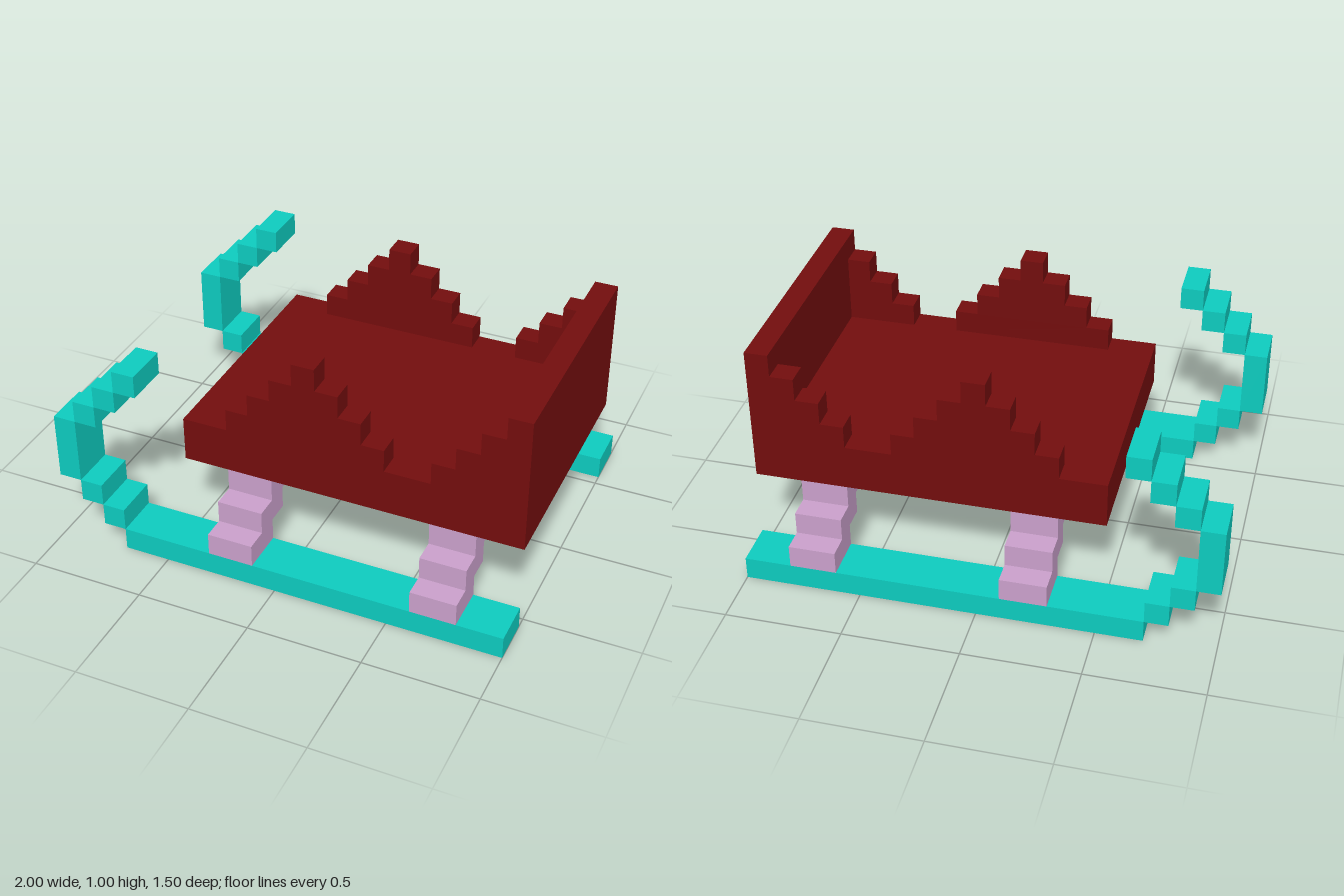
import * as THREE from 'three';

const paint = (name, color) => {
  const m = new THREE.MeshStandardMaterial({ color });
  m.name = name;
  return m;
};

// Box given by its minimum and maximum corners
function block(name, material, [x0, y0, z0], [x1, y1, z1]) {
  const mesh = new THREE.Mesh(new THREE.BoxGeometry(x1 - x0, y1 - y0, z1 - z0), material);
  mesh.position.set((x0 + x1) / 2, (y0 + y1) / 2, (z0 + z1) / 2);
  mesh.name = name;
  return mesh;
}

// Stepped outline extruded across a side wall's thickness
function steppedWall(name, material, points, z0, depth) {
  const shape = new THREE.Shape(points.map(([x, y]) => new THREE.Vector2(x, y)));
  const mesh = new THREE.Mesh(new THREE.ExtrudeGeometry(shape, { depth, bevelEnabled: false }), material);
  mesh.position.z = z0;
  mesh.name = name;
  return mesh;
}

export function createModel() {
  const red = paint('dark red', 0x720d0d);
  const teal = paint('teal', 0x0dcabe);
  const lilac = paint('lilac', 0xc99fca);
  const sled = new THREE.Group();
  sled.name = 'sled';

  // Deck and backrest
  sled.add(block('deck', red, [-0.5, 0.4, -0.55], [1, 0.6, 0.55]));
  sled.add(block('backrest', red, [0.9, 0.6, -0.55], [1, 1, 0.55]));

  // Stair outlines: a pyramid armrest and a brace rising to the backrest
  const left = [], right = [], brace = [[0.9, 0.6]];
  for (let i = 0; i < 4; i++) {
    const y = 0.6 + i * 0.1;
    right.push([0.4 - i * 0.1, y], [0.4 - i * 0.1, y + 0.1]);
    left.unshift([-0.3 + i * 0.1, y + 0.1], [-0.3 + i * 0.1, y]);
  }
  brace.push([0.9, 0.9]);
  for (let i = 2; i >= 0; i--) {
    const x = 0.6 + i * 0.1, y = 0.6 + i * 0.1;
    brace.push([x, y + 0.1], [x, y]);
  }

  for (const s of [1, -1]) {
    const side = new THREE.Group();
    side.name = s > 0 ? 'frontSide' : 'backSide';
    // z extent mirrored to this side
    const add = (name, material, x0, x1, y0, y1, z0, z1) =>
      side.add(block(name, material, [x0, y0, s > 0 ? z0 : -z1], [x1, y1, s > 0 ? z1 : -z0]));

    // Side walls
    const wallZ = s > 0 ? 0.45 : -0.55;
    side.add(steppedWall('armrest', red, [...right, ...left], wallZ, 0.1));
    side.add(steppedWall('backrestBrace', red, brace, wallZ, 0.1));

    // Runner with its curled tip
    add('runner', teal, -0.7, 1, 0, 0.1, 0.55, 0.75);
    for (const [x, y0, y1] of [[-0.8, 0.1, 0.2], [-0.9, 0.2, 0.3], [-1, 0.3, 0.6],
      [-0.9, 0.6, 0.7], [-0.8, 0.7, 0.8], [-0.7, 0.8, 0.9]]) {
      add('runnerCurl', teal, x, x + 0.1, y0, y1, 0.55, 0.75);
    }

    // Stepped struts slanting in towards the deck
    for (const x of [-0.3, 0.6]) {
      for (let i = 0; i < 3; i++) {
        add('strut', lilac, x, x + 0.2, 0.1 + i * 0.1, 0.2 + i * 0.1, 0.55 - i * 0.1, 0.75 - i * 0.1);
      }
    }
    sled.add(side);
  }
  return sled;
}
